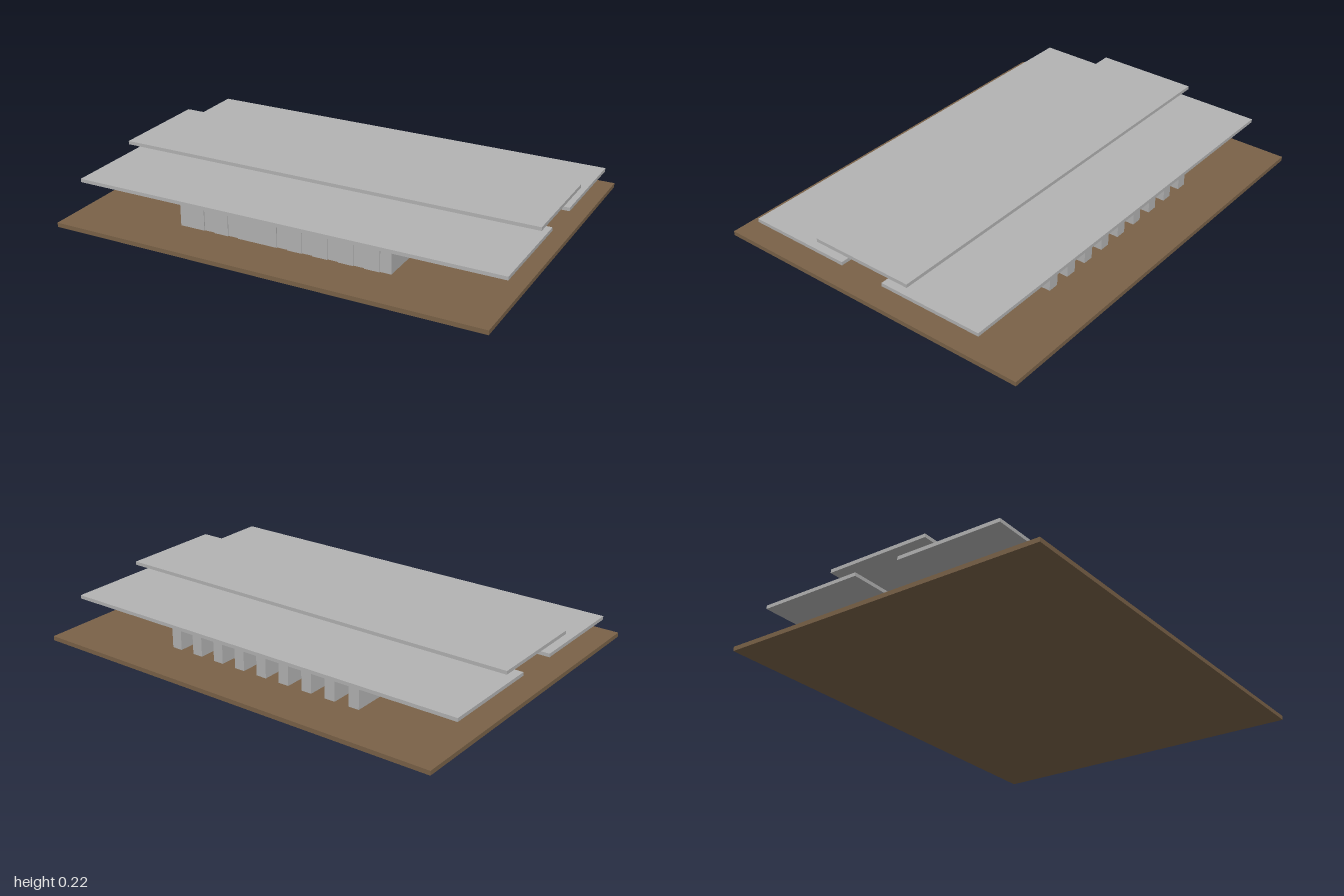
import * as THREE from 'three';

const concrete = new THREE.MeshStandardMaterial({ color: 0xb3b3b3 });
concrete.name = 'concrete grey';
const earth = new THREE.MeshStandardMaterial({ color: 0x7a6248 });
earth.name = 'earth brown';

// Box given by its lower and upper limits on each axis
function block(name, material, [x0, x1], [y0, y1], [z0, z1]) {
  const mesh = new THREE.Mesh(new THREE.BoxGeometry(x1 - x0, y1 - y0, z1 - z0), material);
  mesh.position.set((x0 + x1) / 2, (y0 + y1) / 2, (z0 + z1) / 2);
  mesh.name = name;
  return mesh;
}

export function createModel() {
  const model = new THREE.Group();
  model.name = 'pavilion';

  const floor = 0.02, eave = 0.144, core = 0.108, wallEnd = 0.54;
  const finCount = 9, finWidth = 0.05, firstFin = -0.512, pitch = 0.119;

  // Ground slab and central hall
  model.add(block('groundSlab', earth, [-1, 1], [0, floor], [-0.773, 0.773]));
  model.add(block('centralHall', concrete, [-0.525, 0.665], [floor, 0.2], [-core, core]));

  // Raised middle roof
  model.add(block('upperRoof', concrete, [-1, 1], [0.2, 0.216], [-0.243, 0.243]));

  // Lower roofs and the rows of cross walls beneath them
  for (const side of [1, -1]) {
    const span = (a, b) => (side > 0 ? [a, b] : [-b, -a]);
    const wing = new THREE.Group();
    wing.name = side > 0 ? 'frontWing' : 'backWing';
    wing.add(block('lowerRoof', concrete, [-1, 1], [eave, 0.16], span(core, 0.597)));
    for (let i = 0; i < finCount; i++) {
      const x = firstFin + i * pitch;
      wing.add(block('crossWall', concrete, [x, x + finWidth], [floor, eave], span(core, wallEnd)));
    }
    model.add(wing);
  }

  // Front panels closing the bays; one panel spans two bays
  const bays = [[0, 1], [1, 2], [2, 4], [4, 5], [5, 6], [6, 7], [7, 8]];
  for (const [a, b] of bays) {
    const x0 = firstFin + a * pitch + (a ? finWidth : 0);
    model.add(block('frontPanel', concrete, [x0, firstFin + b * pitch], [floor, eave], [wallEnd - 0.003, wallEnd + 0.005]));
  }
  return model;
}
